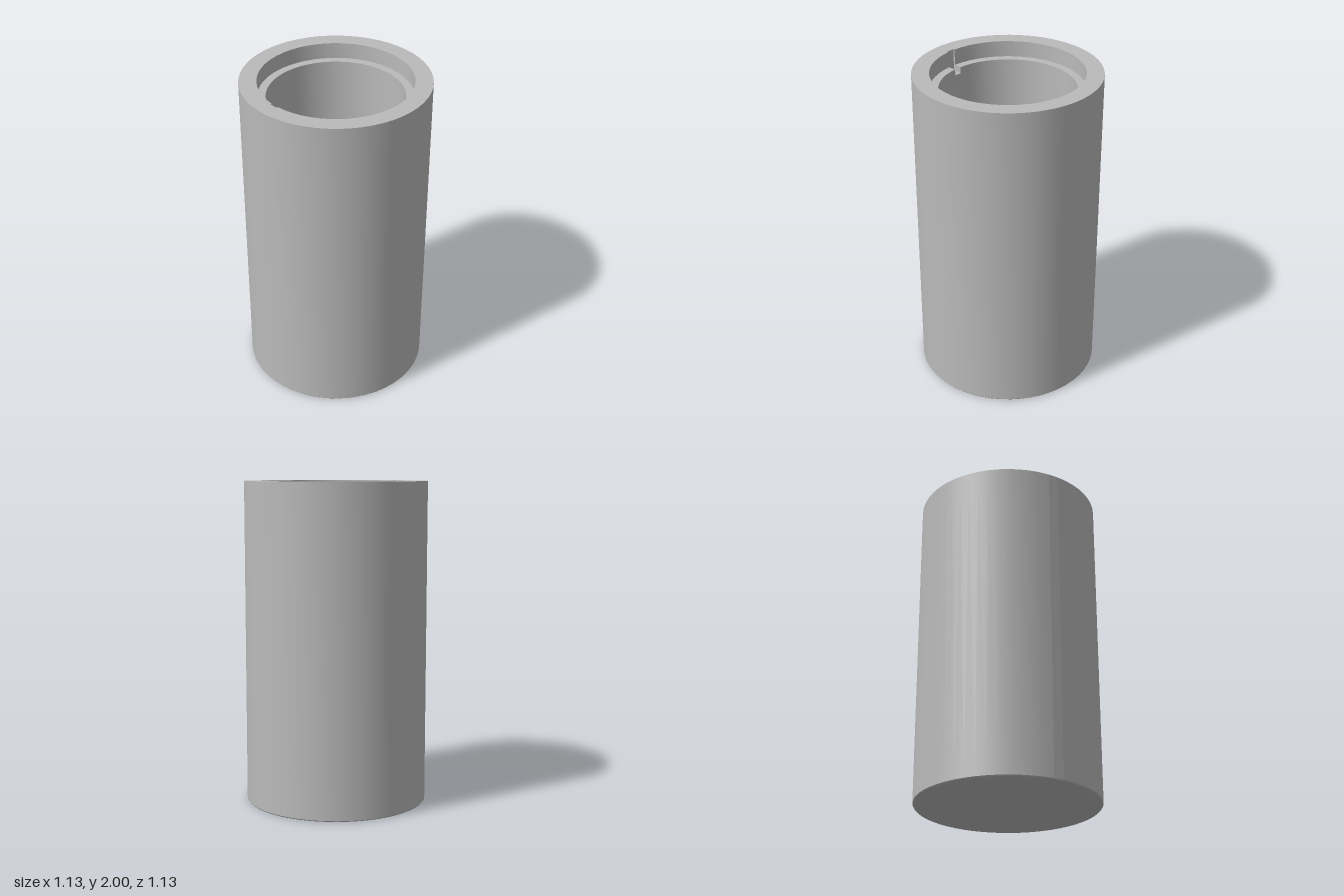
import * as THREE from 'three';
import { toCreasedNormals } from 'three/addons/utils/BufferGeometryUtils.js';

const OUTER = 0.565, RECESS = 0.46, BORE = 0.41, SLOT = 0.47;
const TOP = 2, LEDGE = 1.9, SLOT_FLOOR = 1.86, FLOOR = 0.15;

export function createModel() {
  const group = new THREE.Group();
  const grey = new THREE.MeshStandardMaterial({ color: 0xbababa, side: THREE.DoubleSide });
  grey.name = 'grey';

  const add = (name, geometry) => {
    const mesh = new THREE.Mesh(geometry, grey);
    mesh.name = name;
    group.add(mesh);
    return mesh;
  };
  const lathe = (points, segments, start, length) => toCreasedNormals(
    new THREE.LatheGeometry(points.map(p => new THREE.Vector2(...p)), segments, start, length), 0.5);

  // The key slot is a narrow gap in the turned body, on the -x side
  const half = 0.057, centre = Math.PI * 1.5;
  const outside = [[0, 0], [OUTER - 0.005, 0], [OUTER, 0.006], [OUTER, TOP]];
  const inside = [[BORE, FLOOR], [0, FLOOR]];

  // Hollow body with a stepped mouth
  add('body', lathe([...outside, [RECESS, TOP], [RECESS, LEDGE], [BORE, LEDGE], ...inside],
    54, centre + half, Math.PI * 2 - half * 2));

  // Wall behind and below the key slot
  add('slotWall', lathe([...outside, [SLOT, TOP], [SLOT, SLOT_FLOOR], [BORE, SLOT_FLOOR], ...inside],
    1, centre - half, half * 2));

  // Side cheeks of the key slot
  const cheek = new THREE.Shape([
    [BORE, SLOT_FLOOR], [SLOT, SLOT_FLOOR], [SLOT, TOP],
    [RECESS, TOP], [RECESS, LEDGE], [BORE, LEDGE],
  ].map(p => new THREE.Vector2(...p)));
  for (const side of [-1, 1]) {
    const mesh = add(side > 0 ? 'slotCheekBack' : 'slotCheekFront', new THREE.ShapeGeometry(cheek));
    mesh.rotation.y = Math.PI + side * half;
  }
  return group;
}
